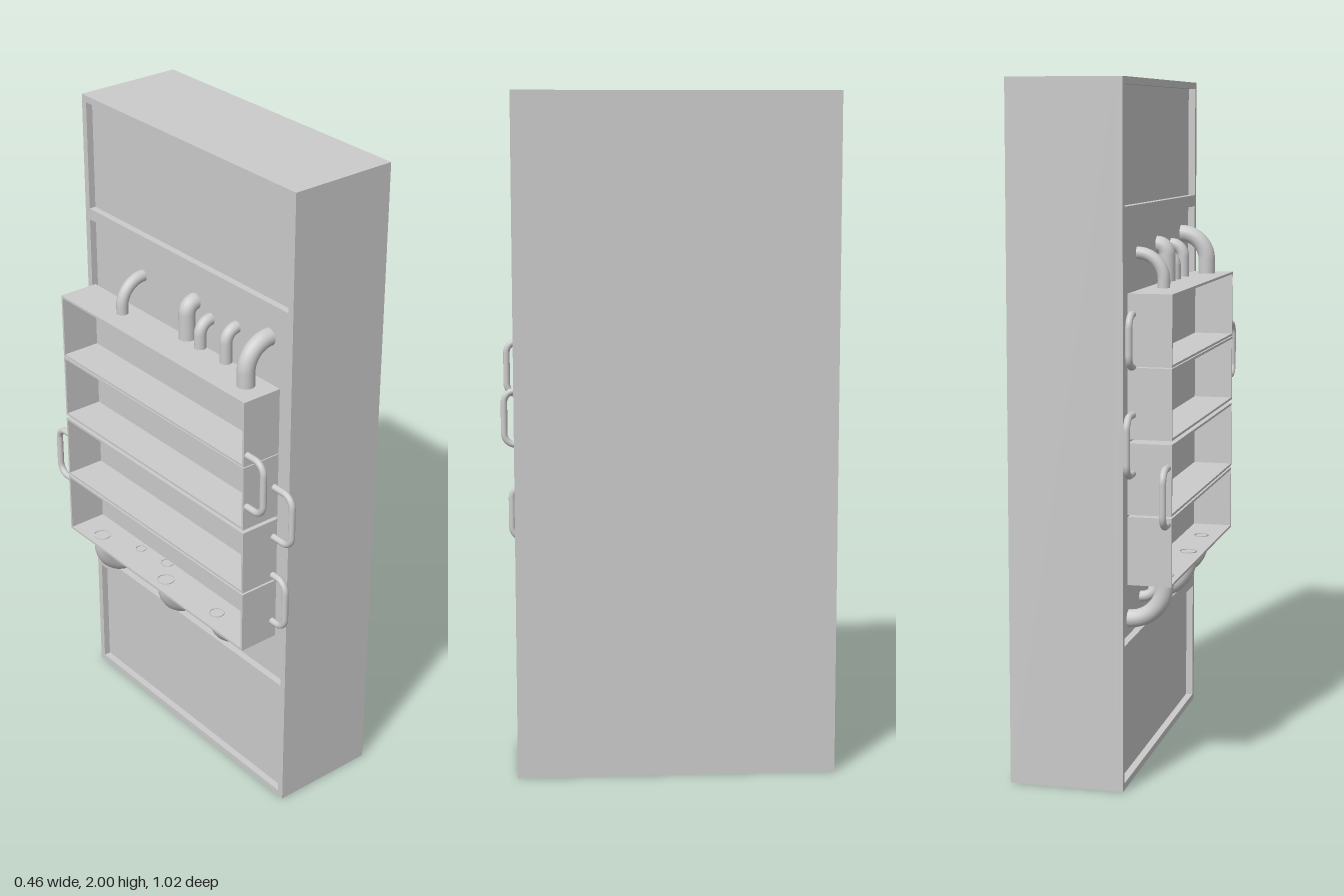
import * as THREE from 'three';

const mat = new THREE.MeshStandardMaterial({ color: 0xcccccc });
const openMat = new THREE.MeshStandardMaterial({ color: 0xcccccc, side: THREE.DoubleSide });

function box(parent, name, x0, x1, y0, y1, z0, z1) {
  const mesh = new THREE.Mesh(new THREE.BoxGeometry(x1 - x0, y1 - y0, z1 - z0), mat);
  mesh.position.set((x0 + x1) / 2, (y0 + y1) / 2, (z0 + z1) / 2);
  mesh.name = name;
  parent.add(mesh);
}

// Path of straight runs joined by rounded corners of radius r
function roundedPath(points, r) {
  const path = new THREE.CurvePath();
  let last = points[0];
  for (let i = 1; i < points.length - 1; i++) {
    const p = points[i];
    const toward = (q) => p.clone().add(q.clone().sub(p).setLength(r));
    const a = toward(points[i - 1]), b = toward(points[i + 1]);
    path.add(new THREE.LineCurve3(last, a));
    // Cubic with circular-arc handles
    path.add(new THREE.CubicBezierCurve3(a, a.clone().lerp(p, 0.552), b.clone().lerp(p, 0.552), b));
    last = b;
  }
  path.add(new THREE.LineCurve3(last, points[points.length - 1]));
  return path;
}

function tube(parent, name, points, bend, radius) {
  const mesh = new THREE.Mesh(
    new THREE.TubeGeometry(roundedPath(points, bend), 48, radius, 16, false), openMat);
  mesh.name = name;
  parent.add(mesh);
}

export function createModel() {
  const model = new THREE.Group();
  const V = (x, y, z) => new THREE.Vector3(x, y, z);

  // Cabinet: solid core with a shallow framed face on the -x side
  const face = -0.103, recess = -0.082, z0 = -0.475, z1 = 0.465;
  const cabinet = new THREE.Group();
  cabinet.name = 'cabinet';
  model.add(cabinet);
  box(cabinet, 'cabinetBody', recess, 0.23, 0, 2, z0, z1);

  const rect = (Path, a0, b0, a1, b1) => new Path([
    [a0, b0], [a1, b0], [a1, b1], [a0, b1]].map((p) => new THREE.Vector2(...p)));
  const frame = rect(THREE.Shape, z0, 0, z1, 2);
  for (const [low, high] of [[0.02, 0.385], [0.42, 1.615], [1.65, 1.98]]) {
    frame.holes.push(rect(THREE.Path, z0 + 0.02, low, z1 - 0.02, high));
  }
  const frameGeo = new THREE.ExtrudeGeometry(frame, { depth: recess - face, bevelEnabled: false });
  frameGeo.rotateY(-Math.PI / 2);
  frameGeo.translate(recess, 0, 0);
  const frameMesh = new THREE.Mesh(frameGeo, mat);
  frameMesh.name = 'panelFrame';
  cabinet.add(frameMesh);

  // Four stacked open trays
  const tx0 = -0.232, tx1 = -0.106, tz0 = -0.433, tz1 = 0.42, t = 0.007;
  for (const [low, high] of [[0.592, 0.787], [0.793, 0.995], [1.006, 1.207], [1.21, 1.412]]) {
    const tray = new THREE.Group();
    tray.name = 'tray';
    model.add(tray);
    box(tray, 'trayBottom', tx0, tx1, low, low + t, tz0, tz1);
    box(tray, 'trayTop', tx0, tx1, high - t, high, tz0, tz1);
    box(tray, 'trayBack', tx1 - t, tx1, low + t, high - t, tz0 + t, tz1 - t);
    box(tray, 'trayEnd', tx0, tx1, low + t, high - t, tz0, tz0 + t);
    box(tray, 'trayEnd', tx0, tx1, low + t, high - t, tz1 - t, tz1);
  }

  // Pipes bending from the tray stack into the cabinet: z, x, radius, end height
  const upper = [
    [-0.225, -0.16, 0.018, 1.51], [0.02, -0.112, 0.025, 1.52], [0.09, -0.12, 0.018, 1.49],
    [0.205, -0.12, 0.018, 1.51], [0.345, -0.164, 0.026, 1.535]];
  const lower = [
    [-0.325, -0.188, 0.026, 0.468], [-0.185, -0.14, 0.016, 0.5], [-0.07, -0.125, 0.02, 0.49],
    [0, -0.185, 0.026, 0.48], [0.235, -0.175, 0.022, 0.49]];
  const pipe = (name, start) => ([z, x, r, y]) => {
    const bend = Math.min(Math.abs(x - recess), Math.abs(y - start)) * 0.98;
    tube(model, name, [V(x, start, z), V(x, y, z), V(recess + 0.002, y, z)], bend, r);
  };
  upper.forEach(pipe('upperPipe', 1.402));
  lower.forEach(pipe('lowerPipe', 0.602));

  // Handles on both tray ends: x, bottom, top, outer z, end z
  const handles = [
    [-0.22, 1.07, 1.255, 0.5, tz1], [-0.12, 0.93, 1.115, 0.508, tz1], [-0.12, 0.64, 0.82, 0.487, tz1],
    [-0.12, 1.2, 1.365, -0.485, tz0], [-0.12, 0.9, 1.085, -0.512, tz0], [-0.22, 0.76, 0.94, -0.503, tz0]];
  const hr = 0.01;
  for (const [x, low, high, out, end] of handles) {
    const s = Math.sign(out), z = out - s * hr, inner = end - s * 0.006;
    tube(model, 'handle', [V(x, low + hr, inner), V(x, low + hr, z), V(x, high - hr, z),
      V(x, high - hr, inner)], 0.035, hr);
  }
  return model;
}
